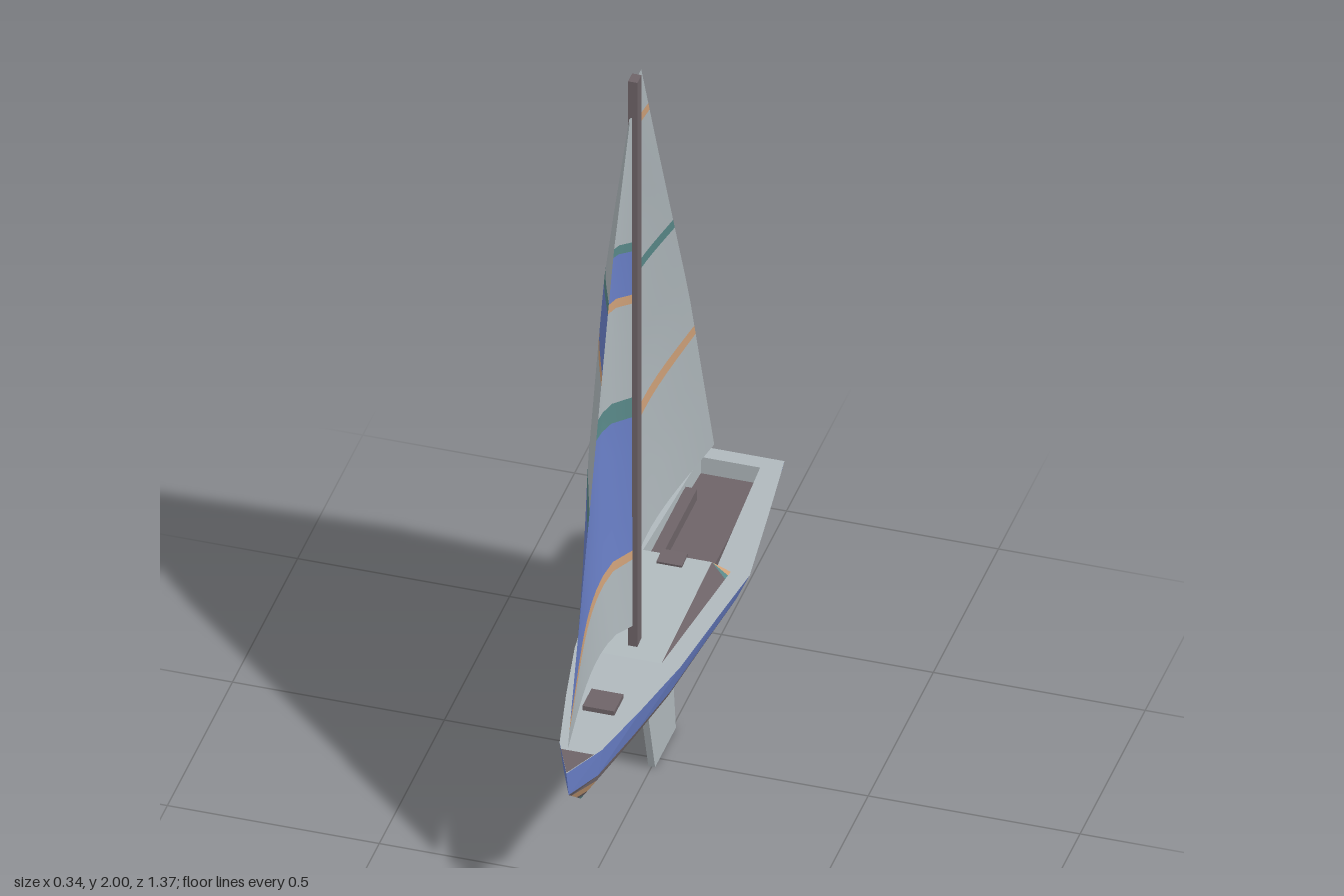
import * as THREE from 'three';

const mat = (name, color) => {
  const m = new THREE.MeshStandardMaterial({ color, side: THREE.DoubleSide });
  m.name = name;
  return m;
};

// Piecewise linear lookup in [key, value] pairs with rising keys
function lookup(table, k) {
  for (let i = 1; i < table.length; i++) {
    const [k0, v0] = table[i - 1], [k1, v1] = table[i];
    if (k <= k1) return v0 + (v1 - v0) * Math.max(0, (k - k0) / (k1 - k0));
  }
  return table[table.length - 1][1];
}

// Surface through rows of points; one material group per strip
function loft(rows, matIndex, smooth) {
  const n = rows[0].length, index = [];
  let geo = new THREE.BufferGeometry();
  geo.setAttribute('position', new THREE.Float32BufferAttribute(rows.flat(2), 3));
  for (let r = 0; r < rows.length - 1; r++) {
    for (let i = 0; i < n - 1; i++) {
      const a = r * n + i, d = a + n;
      index.push(a, d + 1, a + 1, a, d, d + 1);
    }
    geo.addGroup(r * (n - 1) * 6, (n - 1) * 6, matIndex[r]);
  }
  // strips run downwards, so the corners are flipped to face outwards
  for (let i = 0; i < index.length; i += 3) [index[i + 1], index[i + 2]] = [index[i + 2], index[i + 1]];
  geo.setIndex(index);
  if (!smooth) {
    const groups = geo.groups;
    geo = geo.toNonIndexed();
    geo.groups = groups;
  }
  geo.computeVertexNormals();
  return geo;
}

function facets(...triangles) {
  const geo = new THREE.BufferGeometry();
  geo.setAttribute('position', new THREE.Float32BufferAttribute(triangles.flat(2), 3));
  geo.computeVertexNormals();
  return geo;
}

export function createModel() {
  const boat = new THREE.Group();
  boat.name = 'sailboat';
  const white = mat('pale grey', 0xb0b9bd), blue = mat('blue', 0x6a80c8), brown = mat('dark brown', 0x6e6468);
  const tan = mat('tan', 0xd0a27a), teal = mat('teal', 0x5a8a8a);
  const palette = [white, blue, brown, tan, teal];
  const [W, B, D, T, G] = [0, 1, 2, 3, 4];

  const add = (name, geo, material) => {
    const m = new THREE.Mesh(geo, material);
    m.name = name;
    boat.add(m);
    return m;
  };
  const box = (name, size, pos, material) => {
    const m = add(name, new THREE.BoxGeometry(...size), material);
    m.position.set(...pos);
    return m;
  };
  // Horizontal plate from [x, z] points
  const plan = (pts) => pts.map(([x, z]) => new THREE.Vector2(x, -z));
  const flat = (name, pts, y, material, hole) => {
    const shape = new THREE.Shape(plan(pts));
    if (hole) shape.holes.push(new THREE.Path(plan(hole)));
    add(name, new THREE.ShapeGeometry(shape).rotateX(-Math.PI / 2), material).position.y = y;
  };

  // Hull: [z, deck half width, keel height], stern to bow
  const deckY = 0.43;
  const stations = [
    [-0.61, 0.115, 0.34], [-0.55, 0.123, 0.309], [-0.4, 0.142, 0.277], [-0.165, 0.17, 0.242],
    [0, 0.15, 0.249], [0.22, 0.125, 0.25], [0.4, 0.09, 0.267], [0.58, 0.05, 0.285], [0.69, 0, 0.285],
  ];
  const stem = [[0.285, 0.58], [0.36, 0.675], [0.43, 0.69]];
  const hullPoint = (level, [z, w, keel], i) => {
    const y = Math.max(level, keel), chine = Math.max(0.345, keel + 0.015);
    const x = lookup([[keel, 0], [chine, w * 0.78], [deckY, w]], y);
    if (i === 0) z -= (deckY - y) * 0.83;
    if (i === stations.length - 1) z = lookup(stem, y);
    return [x, y, z];
  };
  const ring = (level) => {
    const left = stations.map((s, i) => hullPoint(level, s, i));
    const right = left.map(([x, y, z]) => [-x, y, z]).reverse();
    return [...left, ...right, left[0]];
  };
  add('hull', loft([deckY, 0.358, 0.343, 0.31, 0.298, 0].map(ring), [B, D, T, D, G]), palette);

  // Deck with cockpit opening
  const outline = [...stations.map(([z, w]) => [w, z]),
    ...stations.slice(0, -1).reverse().map(([z, w]) => [-w, z])];
  const well = [[0.07, -0.57], [0.09, -0.165], [-0.09, -0.165], [-0.07, -0.57]];
  const floorY = 0.385;
  flat('deck', outline, deckY, white, well);
  flat('bowCap', [[-0.039, 0.605], [0.039, 0.605], [0, 0.69]], deckY + 0.002, brown);
  flat('cockpitFloor', well, floorY, brown);
  const wellRing = (y) => [...well, well[0]].map(([x, z]) => [x, y, z]);
  add('cockpitWalls', loft([wellRing(floorY), wellRing(deckY)], [W]), palette);
  for (const s of [1, -1]) {
    box('cockpitBench', [0.028, 0.03, 0.3], [s * 0.062, floorY + 0.015, -0.32], brown);
  }

  // Wedge cabin
  const front = (s) => [s * 0.08, deckY, 0.22], base = (s) => [s * 0.125, deckY, -0.165];
  const top = (s) => [s * 0.09, 0.47, -0.135];
  const along = (s, t) => front(s).map((v, i) => v + (base(s)[i] - v) * t);
  add('cabinRoof', facets([front(-1), front(1), top(1)], [front(-1), top(1), top(-1)]), white);
  add('cabinBack', facets([base(-1), top(-1), top(1)], [base(-1), top(1), base(1)]), white);
  const sidePanels = [['cabinSide', 0, 0.92, brown], ['cabinTealTrim', 0.92, 0.96, teal], ['cabinTanTrim', 0.96, 1, tan]];
  for (const [name, t0, t1, m] of sidePanels) {
    for (const s of [1, -1]) {
      const a = along(s, t0), b = along(s, t1);
      add(name, facets(s > 0 ? [a, b, top(s)] : [b, a, top(s)]), m);
    }
  }
  box('cabinHatch', [0.06, 0.012, 0.045], [0, 0.468, -0.122], brown).rotation.x = 0.11;
  box('bowHatch', [0.075, 0.012, 0.07], [0, deckY + 0.006, 0.41], brown);

  // Mast
  box('mast', [0.022, 2 - deckY, 0.032], [0, (2 + deckY) / 2, 0.165], brown);

  // Keel fin and rudder from side outlines of [z, y]
  const fin = (name, pts, thick) => {
    const shape = new THREE.Shape(pts.map(([z, y]) => new THREE.Vector2(-z, y)));
    const geo = new THREE.ExtrudeGeometry(shape, { depth: thick, bevelEnabled: false });
    add(name, geo.translate(0, 0, -thick / 2).rotateY(Math.PI / 2), white);
  };
  fin('keelFin', [[0.12, 0.28], [0.11, 0.25], [0.035, 0], [-0.125, 0], [-0.09, 0.25], [-0.09, 0.28]], 0.016);
  fin('rudder', [[-0.56, 0.32], [-0.585, 0.16], [-0.66, 0.16], [-0.66, 0.34]], 0.014);

  // Sails: rows are [height at mast, height at free edge, colour of the strip below]
  const belly = [[0.49, 0.038], [0.75, 0.055], [1.05, 0.062], [1.5, 0.045], [1.9, 0.006], [2, 0]];
  function sail(name, mastZ, edge, rows, power) {
    const pts = [], colours = [], columns = 12;
    const row = (h, e) => {
      const edgeZ = lookup(edge, e);
      pts.push(Array.from({ length: columns + 1 }, (_, i) => {
        const t = i / columns, y = h + (e - h) * t;
        return [-lookup(belly, y) * Math.sin(Math.PI * t ** power), y, mastZ + (edgeZ - mastZ) * t];
      }));
    };
    row(rows[0][0], rows[0][1]);
    for (let r = 1; r < rows.length; r++) {
      const [h0, e0] = rows[r - 1], [h1, e1, colour] = rows[r];
      const steps = Math.ceil((h1 - h0) / 0.12);
      for (let k = 1; k <= steps; k++) {
        row(h0 + (h1 - h0) * k / steps, e0 + (e1 - e0) * k / steps);
        colours.push(colour);
      }
    }
    add(name, loft(pts, colours, true), palette);
  }
  sail('foreSail', 0.18, [[0.49, 0.68], [1.62, 0.33], [1.9, 0.205]], [
    [0.49, 0.49], [0.675, 0.53, W], [0.7, 0.555, T], [1.07, 0.98, B], [1.125, 1.03, G], [1.385, 1.32, W],
    [1.41, 1.345, T], [1.53, 1.485, B], [1.555, 1.51, G], [1.9, 1.9, W],
  ], 0.58);
  sail('mainSail', 0.15, [[0.565, -0.445], [1.12, -0.25], [1.7, -0.005], [1.99, 0.115]], [
    [0.565, 0.565], [0.825, 0.97, W], [0.865, 1.0, T], [1.28, 1.375, W], [1.31, 1.405, G],
    [1.8, 1.835, W], [1.835, 1.86, T], [1.99, 1.99, W],
  ], 0.7);

  return boat;
}
